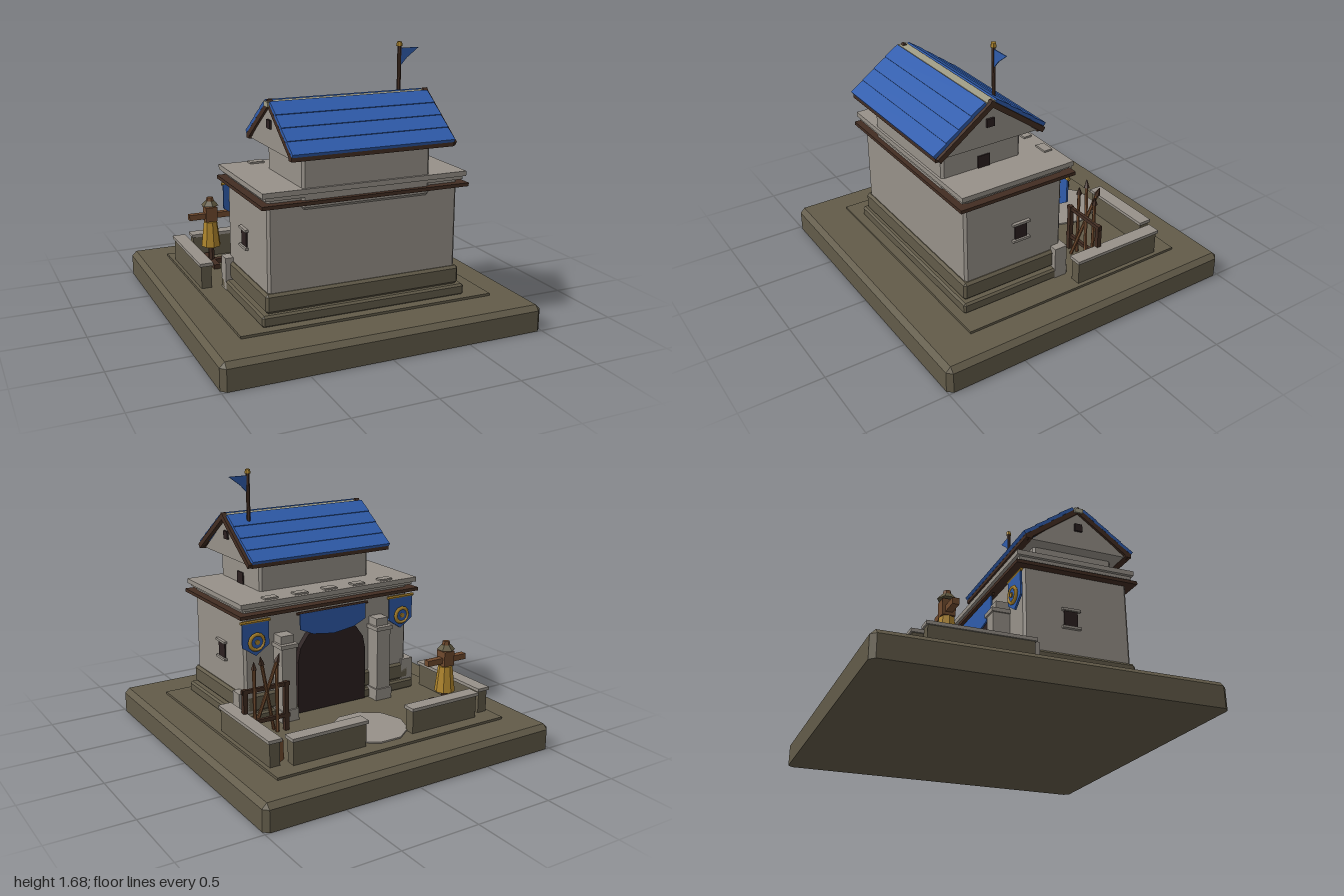
import * as THREE from 'three';
import { ConvexGeometry } from 'three/addons/geometries/ConvexGeometry.js';

const paint = (name, color, extra = {}) => {
  const m = new THREE.MeshStandardMaterial({ color, ...extra });
  m.name = name;
  return m;
};

export function createModel() {
  const root = new THREE.Group();
  const earth = paint('earth stone', 0x625b49);
  const stone = paint('pale stone', 0x979189);
  const blue = paint('blue', 0x2f5cac, { side: THREE.DoubleSide });
  const timber = paint('dark timber', 0x422d22);
  const wood = paint('brown wood', 0x704a2e);
  const gold = paint('gold', 0xad842c);
  const dark = paint('dark opening', 0x2b2020);
  const ridgeMat = paint('ridge stone', 0xa39f88);
  const olive = paint('olive cloth', 0x605840);

  const add = (name, geo, mat, parent = root) => {
    const m = new THREE.Mesh(geo, mat);
    m.name = name;
    parent.add(m);
    return m;
  };
  // Box from its two opposite corners
  const box = (name, mat, x0, x1, y0, y1, z0, z1, parent = root) => {
    const m = add(name, new THREE.BoxGeometry(x1 - x0, y1 - y0, z1 - z0), mat, parent);
    m.position.set((x0 + x1) / 2, (y0 + y1) / 2, (z0 + z1) / 2);
    return m;
  };
  // Box with all edges chamfered by c (optionally a plain bottom edge)
  const chamfer = (name, mat, x0, x1, y0, y1, z0, z1, c, flat = false) => {
    const pts = [];
    for (const [x, i] of [[x0, 1], [x1, -1]])
      for (const [z, k] of [[z0, 1], [z1, -1]])
        for (const [y, j] of [[y0, 1], [y1, -1]]) {
          const e = flat && j > 0 ? 0 : c;
          pts.push(new THREE.Vector3(x + i * c, y + j * e, z), new THREE.Vector3(x, y + j * e, z + k * c));
          if (e) pts.push(new THREE.Vector3(x + i * c, y, z + k * c));
        }
    return add(name, new ConvexGeometry(pts), mat);
  };
  // Straight rod between two points
  const rod = (name, mat, a, b, r0, r1 = r0, sides = 6, parent = root) => {
    const p = new THREE.Vector3(...a), q = new THREE.Vector3(...b), d = q.clone().sub(p);
    const m = add(name, new THREE.CylinderGeometry(r1, r0, d.length(), sides).toNonIndexed(), mat, parent);
    m.geometry.computeVertexNormals();
    m.position.copy(p).add(q).multiplyScalar(0.5);
    m.quaternion.setFromUnitVectors(new THREE.Vector3(0, 1, 0), d.normalize());
    return m;
  };
  // Outline in x/y extruded along z, starting at z
  const plate = (name, mat, pts, z, depth, parent = root) => {
    const s = new THREE.Shape(pts.map(p => new THREE.Vector2(...p)));
    const m = add(name, new THREE.ExtrudeGeometry(s, { depth, bevelEnabled: false }), mat, parent);
    m.position.z = z;
    return m;
  };

  // Ground
  chamfer('baseSlab', earth, -1, 1, 0, 0.16, -1, 1, 0.03, true);
  box('yardFloor', earth, -0.8, 0.8, 0.15, 0.175, -0.78, 0.735);
  const paving = add('roundPaving', new THREE.CylinderGeometry(0.235, 0.235, 0.012, 10), stone);
  paving.position.set(0, 0.178, -0.485);
  paving.rotation.y = Math.PI / 10;

  // Main hall
  chamfer('lowerPlinth', earth, -0.65, 0.65, 0.17, 0.24, -0.06, 0.68, 0.012);
  chamfer('upperPlinth', earth, -0.62, 0.62, 0.24, 0.355, -0.045, 0.66, 0.015);
  chamfer('hallWalls', stone, -0.6, 0.6, 0.33, 0.91, -0.03, 0.64, 0.015);
  box('timberBand', timber, -0.65, 0.65, 0.855, 0.876, -0.09, 0.69);
  box('corniceLower', stone, -0.62, 0.62, 0.895, 0.92, -0.06, 0.665);
  box('cornice', stone, -0.64, 0.64, 0.915, 0.945, -0.08, 0.675);
  for (let i = -2; i <= 2; i++)
    box('corniceBlock', stone, i * 0.21 - 0.045, i * 0.21 + 0.045, 0.94, 0.956, -0.055, 0);

  // Side windows, corner blocks, gate piers and wall banners
  for (const s of [-1, 1]) {
    const side = new THREE.Group();
    side.name = s > 0 ? 'leftSide' : 'rightSide';
    root.add(side);
    const at = (name, mat, x, w, y0, y1, z0, z1) =>
      box(name, mat, s * x - w / 2, s * x + w / 2, y0, y1, z0, z1, side);
    at('sideWindow', dark, 0.6, 0.016, 0.525, 0.625, 0.22, 0.305);
    at('windowLintel', stone, 0.605, 0.03, 0.622, 0.637, 0.205, 0.322);
    at('windowSill', stone, 0.605, 0.03, 0.512, 0.527, 0.205, 0.322);
    at('cornerBlock', stone, 0.605, 0.09, 0.175, 0.38, -0.045, 0.04);
    at('gatePier', stone, 0.35, 0.1, 0.17, 0.66, -0.135, -0.02);
    at('pierFoot', stone, 0.35, 0.12, 0.17, 0.25, -0.145, -0.02);
    at('pierCap', stone, 0.35, 0.12, 0.645, 0.67, -0.145, -0.02);
    at('pierTop', stone, 0.35, 0.09, 0.67, 0.72, -0.115, -0.02);
    const x = s * 0.535;
    plate('wallBanner', blue, [[x - 0.09, 0.82], [x - 0.09, 0.67], [x, 0.61], [x + 0.09, 0.67], [x + 0.09, 0.82]], -0.06, 0.012, side);
    rod('bannerRod', gold, [x - 0.1, 0.825, -0.055], [x + 0.1, 0.825, -0.055], 0.01, 0.01, 6, side);
    rod('bannerBoss', blue, [x, 0.7, -0.05], [x, 0.7, -0.075], 0.05, 0.05, 10, side);
    const ring = add('bannerRing', new THREE.TorusGeometry(0.048, 0.012, 5, 12), gold, side);
    ring.position.set(x, 0.7, -0.07);
    rod('bossCentre', gold, [x, 0.7, -0.07], [x, 0.7, -0.082], 0.016, 0.016, 8, side);
  }

  // Arched gate with hanging cloth above
  const arch = [[-0.25, 0.18], [0.25, 0.18]];
  for (let i = 0; i <= 8; i++) {
    const a = i * Math.PI / 8;
    arch.push([0.25 * Math.cos(a), 0.52 + 0.23 * Math.sin(a)]);
  }
  plate('archedGate', dark, arch, -0.07, 0.05);
  plate('gateCloth', blue, [[-0.24, 0.83], [-0.24, 0.73], [-0.15, 0.69], [0, 0.67], [0.15, 0.69], [0.24, 0.73], [0.24, 0.83]], -0.085, 0.01);
  rod('gateClothRod', timber, [-0.26, 0.832, -0.075], [0.26, 0.832, -0.075], 0.01);

  // Upper storey and gable
  chamfer('upperStorey', stone, -0.4, 0.4, 0.82, 1.15, 0.13, 0.66, 0.015);
  box('upperWindow', dark, 0.395, 0.408, 0.945, 1.02, 0.345, 0.425);
  const zc = 0.395;
  const gable = plate('gable', stone, [[-0.32, 1.125], [0.32, 1.125], [0, 1.38]], 0, 0.97);
  gable.rotation.y = Math.PI / 2;
  gable.position.set(-0.485, 0, zc);
  for (const s of [-1, 1])
    box('gableWindow', dark, s * 0.488 - 0.01, s * 0.488 + 0.01, 1.24, 1.29, zc - 0.025, zc + 0.025);

  // Roof: four overlapping courses, eave beam and rake boards on each slope
  const slope = Math.atan2(0.24, 0.33);
  for (const s of [-1, 1]) {
    const half = new THREE.Group();
    half.name = s > 0 ? 'frontRoof' : 'backRoof';
    half.position.set(0, 1.395, zc + s * 0.035);
    half.rotation.y = s > 0 ? 0 : Math.PI;
    root.add(half);
    const pitch = new THREE.Group();
    pitch.name = 'roofSlope';
    pitch.rotation.x = slope;
    half.add(pitch);
    for (let i = 0; i < 4; i++) {
      const course = box('roofCourse', blue, -0.5, 0.5, -0.013, 0.009, i * 0.1, i * 0.1 + 0.108, pitch);
      course.rotation.x = -0.05;
    }
    // Rake boards sit slightly toward the model's left
    for (const x of [-0.485, 0.505])
      box('rakeBoard', timber, x - 0.015, x + 0.015, -0.045, -0.013, -0.04, 0.405, pitch).position.x = s * x;
    box('eaveBeam', timber, -0.5, 0.5, 1.122, 1.158, zc + s * 0.335 - 0.022, zc + s * 0.335 + 0.022);
  }
  box('roofRidge', ridgeMat, -0.51, 0.5, 1.365, 1.395, zc - 0.028, zc + 0.028);

  // Pennant
  rod('flagPole', timber, [0.38, 1.3, 0.3], [0.38, 1.66, 0.3], 0.012);
  rod('flagFinial', gold, [0.38, 1.652, 0.3], [0.38, 1.678, 0.3], 0.019, 0.015);
  plate('pennant', blue, [[0.385, 1.64], [0.385, 1.53], [0.43, 1.58], [0.51, 1.64]], 0.297, 0.006);

  // Yard walls with caps
  for (const [x0, x1, z0, z1] of [[0.7, 0.785, -0.66, -0.035], [-0.79, -0.705, -0.66, -0.035],
    [-0.665, -0.16, -0.705, -0.62], [0.155, 0.66, -0.705, -0.62]]) {
    box('yardWall', earth, x0 + 0.01, x1 - 0.01, 0.17, 0.32, z0 + 0.01, z1 - 0.01);
    box('wallCap', stone, x0, x1, 0.318, 0.338, z0, z1);
  }

  // Training dummy
  const dummy = new THREE.Group();
  dummy.name = 'trainingDummy';
  dummy.position.set(-0.58, 0, -0.48);
  root.add(dummy);
  box('footAcross', timber, -0.13, 0.13, 0.175, 0.205, -0.02, 0.02, dummy);
  box('footAlong', timber, -0.02, 0.02, 0.175, 0.205, -0.13, 0.13, dummy);
  rod('dummyPost', timber, [0, 0.18, 0], [0, 0.5, 0], 0.02, 0.02, 6, dummy);
  rod('dummyRobe', gold, [0, 0.3, 0], [0, 0.465, 0], 0.065, 0.045, 8, dummy);
  box('dummyArms', wood, -0.145, 0.15, 0.488, 0.525, -0.02, 0.02, dummy);
  box('dummyHead', wood, -0.038, 0.038, 0.47, 0.565, -0.038, 0.038, dummy);
  rod('hatBrim', olive, [0, 0.575, 0], [0, 0.605, 0], 0.058, 0.03, 6, dummy);
  rod('hatCrown', wood, [0, 0.6, 0], [0, 0.628, 0], 0.026, 0.022, 6, dummy);

  // Spear rack
  const rack = new THREE.Group();
  rack.name = 'spearRack';
  root.add(rack);
  for (const x of [0.435, 0.71])
    box('rackPost', timber, x - 0.014, x + 0.014, 0.175, 0.485, -0.25, -0.222, rack);
  for (const y of [0.27, 0.47])
    box('rackRail', timber, 0.41, 0.73, y - 0.012, y + 0.012, -0.246, -0.226, rack);
  for (const [a, b] of [[[0.65, 0.18, -0.245], [0.65, 0.6, -0.245]], [[0.5, 0.18, -0.245], [0.5, 0.6, -0.245]],
    [[0.64, 0.18, -0.2], [0.52, 0.64, -0.285]], [[0.5, 0.18, -0.2], [0.62, 0.64, -0.285]]]) {
    const tip = b.map((v, i) => v + (v - a[i]) * 0.11);
    rod('spearShaft', wood, a, b, 0.011, 0.011, 6, rack);
    rod('spearTip', timber, b, tip, 0.019, 0.002, 5, rack);
  }
  rod('smallBarrel', wood, [0.69, 0.175, -0.57], [0.69, 0.29, -0.57], 0.042);

  return root;
}
